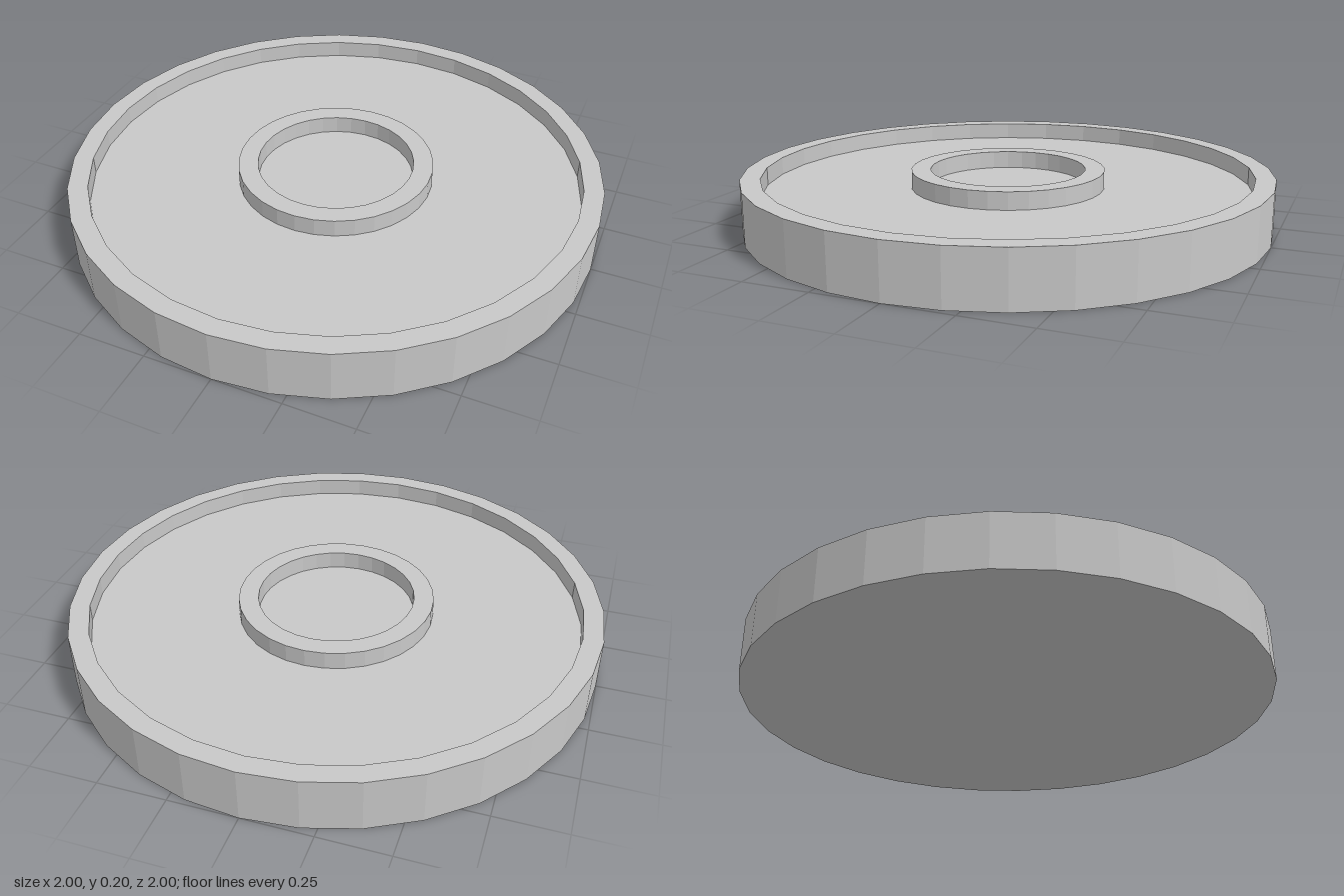
import * as THREE from 'three';

const SIDES = 32;
const HEIGHT = 0.2;
const FLOOR = 0.133;

// Revolve a [radius, y] profile into a faceted solid
function turned(name, profile, material) {
  const points = profile.map(([r, y]) => new THREE.Vector2(r, y));
  const geometry = new THREE.LatheGeometry(points, SIDES).toNonIndexed();
  geometry.computeVertexNormals();
  const mesh = new THREE.Mesh(geometry, material);
  mesh.name = name;
  return mesh;
}

export function createModel() {
  const group = new THREE.Group();
  group.name = 'roundTray';

  const grey = new THREE.MeshStandardMaterial({ color: 0xc8c8c8 });
  grey.name = 'plain grey';

  // Shallow disc with a raised outer rim
  group.add(turned('dish', [
    [0, 0], [1, 0], [1, HEIGHT], [0.926, HEIGHT], [0.926, FLOOR], [0, FLOOR],
  ], grey));

  // Central ring standing on the floor, flush with the rim
  group.add(turned('centreRing', [
    [0.37, FLOOR], [0.37, HEIGHT], [0.296, HEIGHT], [0.296, FLOOR],
  ], grey));

  return group;
}
